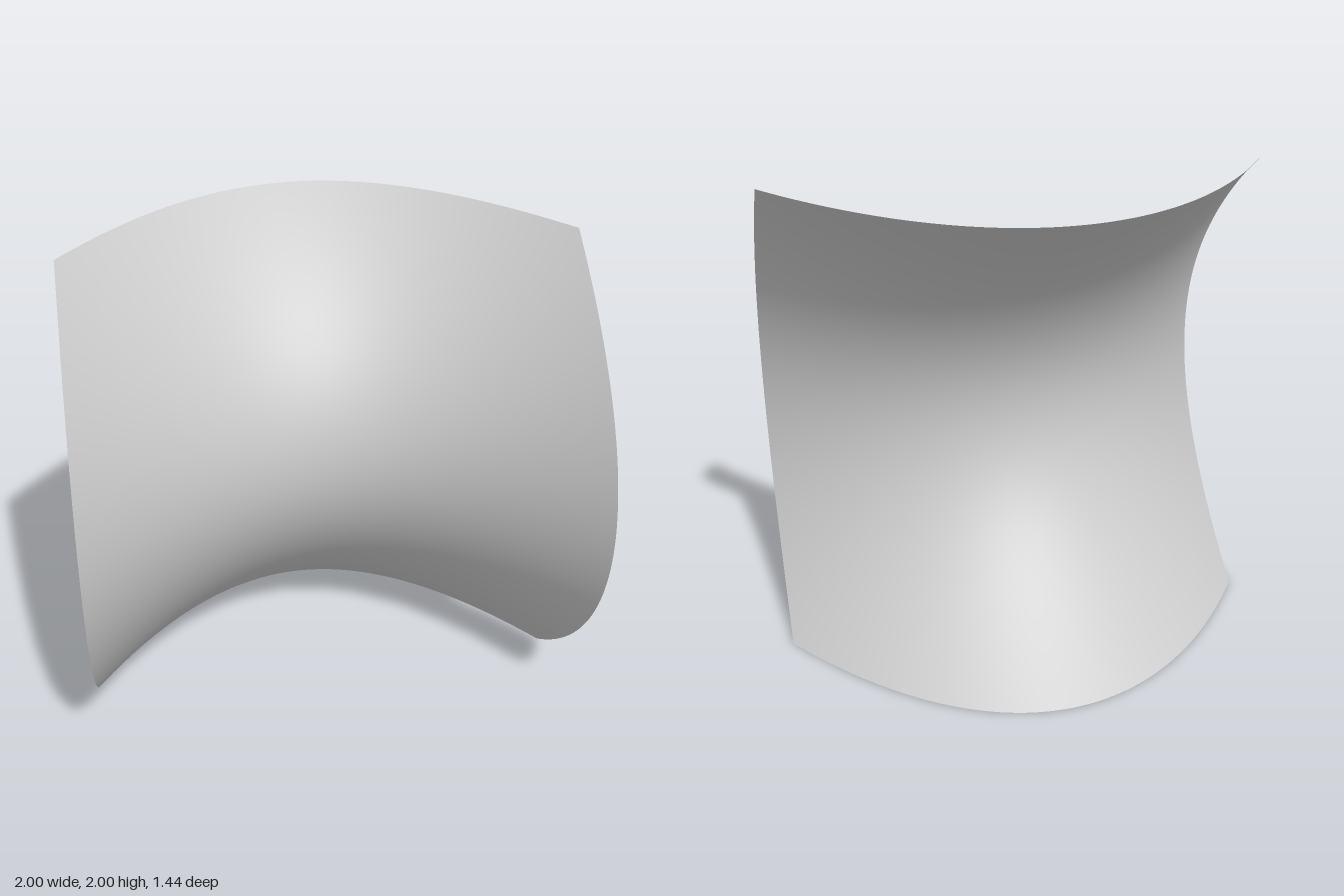
import * as THREE from 'three';

const DEPTH = 0.72; // rise of each parabola from centre to edge

export function createModel() {
  const group = new THREE.Group();

  // Saddle sheet: curves forward along x, backward along y
  const geometry = new THREE.PlaneGeometry(2, 2, 64, 64);
  const pos = geometry.attributes.position;
  const normal = geometry.attributes.normal;
  const n = new THREE.Vector3();
  for (let i = 0; i < pos.count; i++) {
    const x = pos.getX(i);
    const y = pos.getY(i);
    pos.setZ(i, DEPTH * (x * x - y * y));
    n.set(-2 * DEPTH * x, 2 * DEPTH * y, 1).normalize();
    normal.setXYZ(i, n.x, n.y, n.z);
  }

  const sheet = new THREE.Mesh(
    geometry,
    new THREE.MeshStandardMaterial({ color: 0xcccccc, side: THREE.DoubleSide })
  );
  sheet.name = 'saddleSurface';
  sheet.position.y = 1;
  group.add(sheet);
  return group;
}
